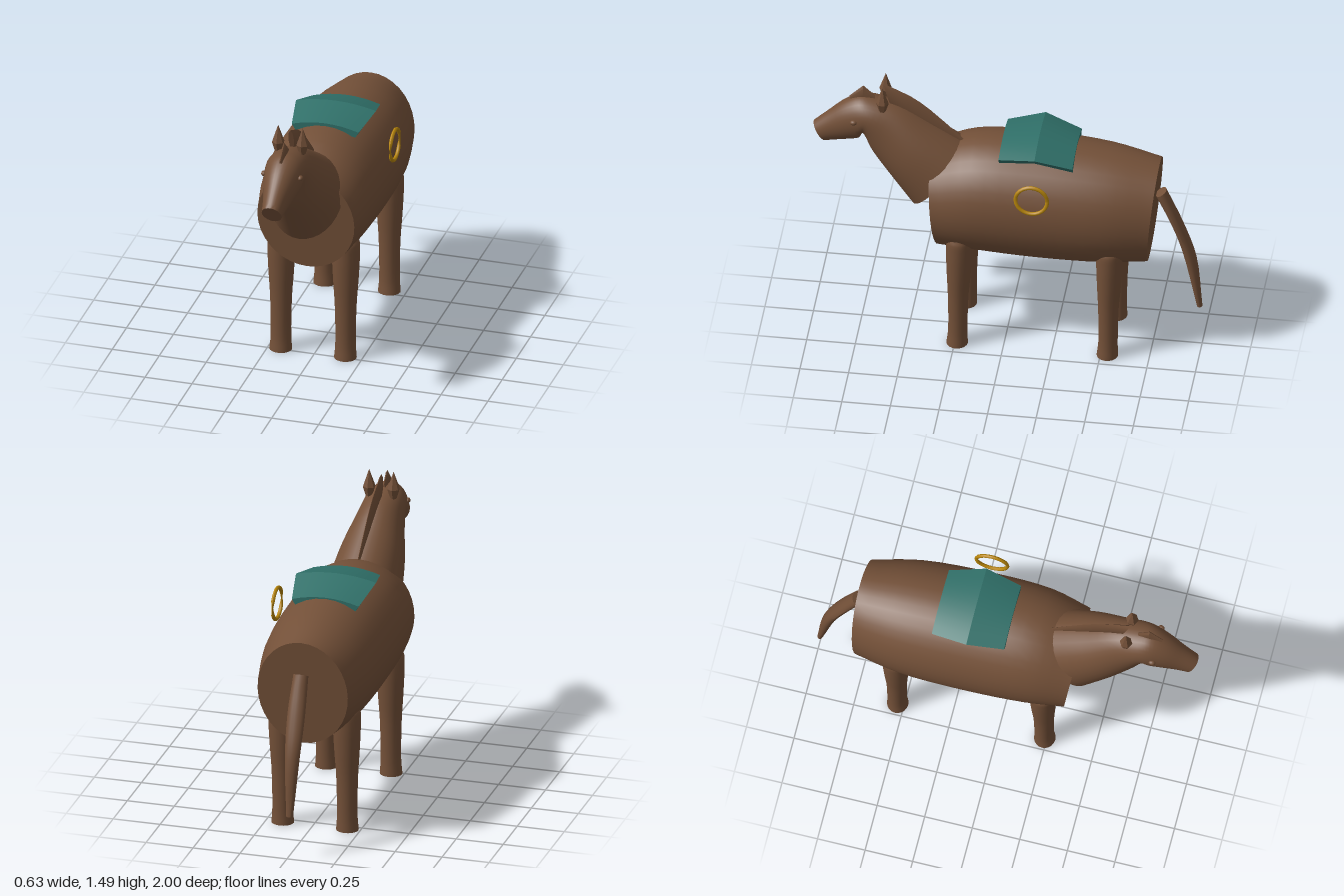
import * as THREE from 'three';
import { toCreasedNormals } from 'three/addons/utils/BufferGeometryUtils.js';

// Skin a list of equal-length rings and close both ends
function stitch(rings, crease = 0.6) {
  const n = rings[0].length, pos = [], index = [];
  const push = (p) => pos.push(p.x, p.y, p.z) / 3 - 1;
  rings.forEach((ring) => ring.forEach(push));
  for (let i = 0; i < rings.length - 1; i++) {
    for (let j = 0; j < n; j++) {
      const a = i * n + j, b = i * n + (j + 1) % n;
      index.push(a, a + n, b, b, a + n, b + n);
    }
  }
  [0, rings.length - 1].forEach((r, end) => {
    const mid = new THREE.Vector3();
    rings[r].forEach((p) => mid.addScaledVector(p, 1 / n));
    const c = push(mid);
    for (let j = 0; j < n; j++) {
      const a = r * n + j, b = r * n + (j + 1) % n;
      if (end) index.push(c, b, a); else index.push(c, a, b);
    }
  });
  const g = new THREE.BufferGeometry();
  g.setAttribute('position', new THREE.Float32BufferAttribute(pos, 3));
  g.setIndex(index);
  return toCreasedNormals(g, crease);
}

// Elliptical loft; each section is [topZ, topY, bottomZ, bottomY, halfWidth]
function loft(sections, sides = 28, sub = 4) {
  const top = new THREE.CatmullRomCurve3(sections.map((s) => new THREE.Vector3(s[0], s[1], s[4])));
  const bot = new THREE.CatmullRomCurve3(sections.map((s) => new THREE.Vector3(s[2], s[3], 0)));
  const steps = (sections.length - 1) * sub, rings = [];
  for (let i = 0; i <= steps; i++) {
    const a = top.getPoint(i / steps), b = bot.getPoint(i / steps), ring = [];
    for (let j = 0; j < sides; j++) {
      const t = (j / sides) * Math.PI * 2, k = (1 + Math.cos(t)) / 2;
      ring.push(new THREE.Vector3(a.z * Math.sin(t), b.y + (a.y - b.y) * k, b.x + (a.x - b.x) * k));
    }
    rings.push(ring);
  }
  return stitch(rings);
}

export function createModel() {
  const coat = new THREE.MeshStandardMaterial({ color: 0x735038 });
  coat.name = 'brown coat';
  const cloth = new THREE.MeshStandardMaterial({ color: 0x2f6f68 });
  cloth.name = 'teal cloth';
  const gold = new THREE.MeshStandardMaterial({ color: 0xb8860b });
  gold.name = 'gold metal';

  const model = new THREE.Group();
  model.name = 'horse';
  const horse = new THREE.Group();
  horse.name = 'animal';
  horse.position.x = -0.01;
  model.add(horse);
  const add = (name, geo, mat = coat, parent = horse) => {
    const m = new THREE.Mesh(geo, mat);
    m.name = name;
    parent.add(m);
    return m;
  };

  // Barrel body, rump to chest
  add('body', loft([
    [-0.78, 1.11, -0.73, 0.54, 0.24],
    [-0.52, 1.165, -0.5, 0.525, 0.29],
    [-0.16, 1.195, -0.16, 0.525, 0.305],
    [0.17, 1.185, 0.15, 0.54, 0.295],
    [0.39, 1.1, 0.34, 0.55, 0.258],
  ], 36));

  // Neck and head in one skin, shoulder to muzzle
  add('neckAndHead', loft([
    [0.21, 1.14, 0.49, 0.78, 0.19],
    [0.39, 1.25, 0.6, 0.935, 0.165],
    [0.56, 1.35, 0.7, 1.08, 0.125],
    [0.69, 1.385, 0.745, 1.18, 0.108],
    [0.76, 1.39, 0.76, 1.145, 0.102],
    [0.84, 1.35, 0.82, 1.125, 0.086],
    [0.93, 1.27, 0.885, 1.11, 0.064],
    [1.0, 1.205, 0.935, 1.1, 0.052],
  ], 32));

  // Thin mane crest and forelock
  add('mane', loft([
    [0.23, 1.17, 0.25, 1.14, 0.006],
    [0.4, 1.335, 0.43, 1.22, 0.01],
    [0.5, 1.41, 0.53, 1.28, 0.012],
    [0.64, 1.475, 0.6, 1.34, 0.015],
  ], 8, 2));
  add('forelock', loft([
    [0.685, 1.4, 0.685, 1.34, 0.008],
    [0.745, 1.455, 0.745, 1.34, 0.013],
    [0.815, 1.385, 0.8, 1.33, 0.008],
  ], 8, 1));

  // Tail, tip to root
  add('tail', loft([
    [-1.0, 0.235, -0.972, 0.235, 0.018],
    [-0.97, 0.535, -0.897, 0.58, 0.04],
    [-0.905, 0.735, -0.835, 0.76, 0.047],
    [-0.815, 0.95, -0.76, 0.92, 0.04],
  ], 16));

  // Legs, hoof to rounded shoulder: [height, z drift, radius]
  const legProfile = [
    [0.005, 0.01, 0.055], [0.08, 0.007, 0.05], [0.3, 0.005, 0.053], [0.45, 0.002, 0.062],
    [0.6, 0, 0.068], [0.67, 0, 0.065], [0.7, 0, 0.045], [0.712, 0, 0.004],
  ];
  for (const [end, z] of [['front', 0.228], ['back', -0.545]]) {
    const geo = loft(legProfile.map(([y, d, r]) => [z + d - r, y, z + d + r, y, r * 1.06]), 20);
    for (const s of [1, -1]) add(end + (s > 0 ? 'LeftLeg' : 'RightLeg'), geo).position.x = s * 0.172;
  }

  // Ears and eyes
  const earGeo = toCreasedNormals(new THREE.LatheGeometry(
    [[0, -0.06], [0.018, -0.05], [0.033, 0], [0, 0.095]].map(([x, y]) => new THREE.Vector2(x, y)), 6), 0.2);
  const eyeGeo = new THREE.SphereGeometry(0.018, 12, 8).scale(0.8, 0.75, 1);
  for (const s of [1, -1]) {
    const side = s > 0 ? 'left' : 'right';
    add(side + 'Ear', earGeo).position.set(s * 0.065, 1.402, 0.638);
    add(side + 'Eye', eyeGeo).position.set(s * 0.097, 1.285, 0.782);
  }

  // Saddle: arched plate with a cross ridge in the middle
  const saddleRing = (z, yc, w) => {
    const ring = [];
    for (let j = 0; j <= 8; j++) {
      const u = j / 4 - 1;
      ring.push(new THREE.Vector3(u * w, yc - 0.028 * u * u, z));
    }
    for (let j = 8; j >= 0; j--) {
      const u = j / 4 - 1;
      ring.push(new THREE.Vector3(u * w * 0.9, yc - 0.03 - 0.028 * u * u, z));
    }
    return ring;
  };
  add('saddle', stitch([
    saddleRing(-0.355, 1.19, 0.178),
    saddleRing(-0.165, 1.25, 0.213),
    saddleRing(0.025, 1.213, 0.178),
  ], 0.25), cloth);

  // Side ring, thinned toward its front and back
  const ringGeo = new THREE.TorusGeometry(0.082, 0.01, 8, 24).rotateY(Math.PI / 2);
  const p = ringGeo.attributes.position;
  for (let i = 0; i < p.count; i++) {
    const rise = Math.abs(p.getY(i)) / 0.082;
    p.setX(i, p.getX(i) * (0.25 + 0.75 * Math.min(1, rise * 2.2)));
  }
  ringGeo.computeVertexNormals();
  add('sideRing', ringGeo, gold, model).position.set(0.304, 1.045, -0.163);

  return model;
}
